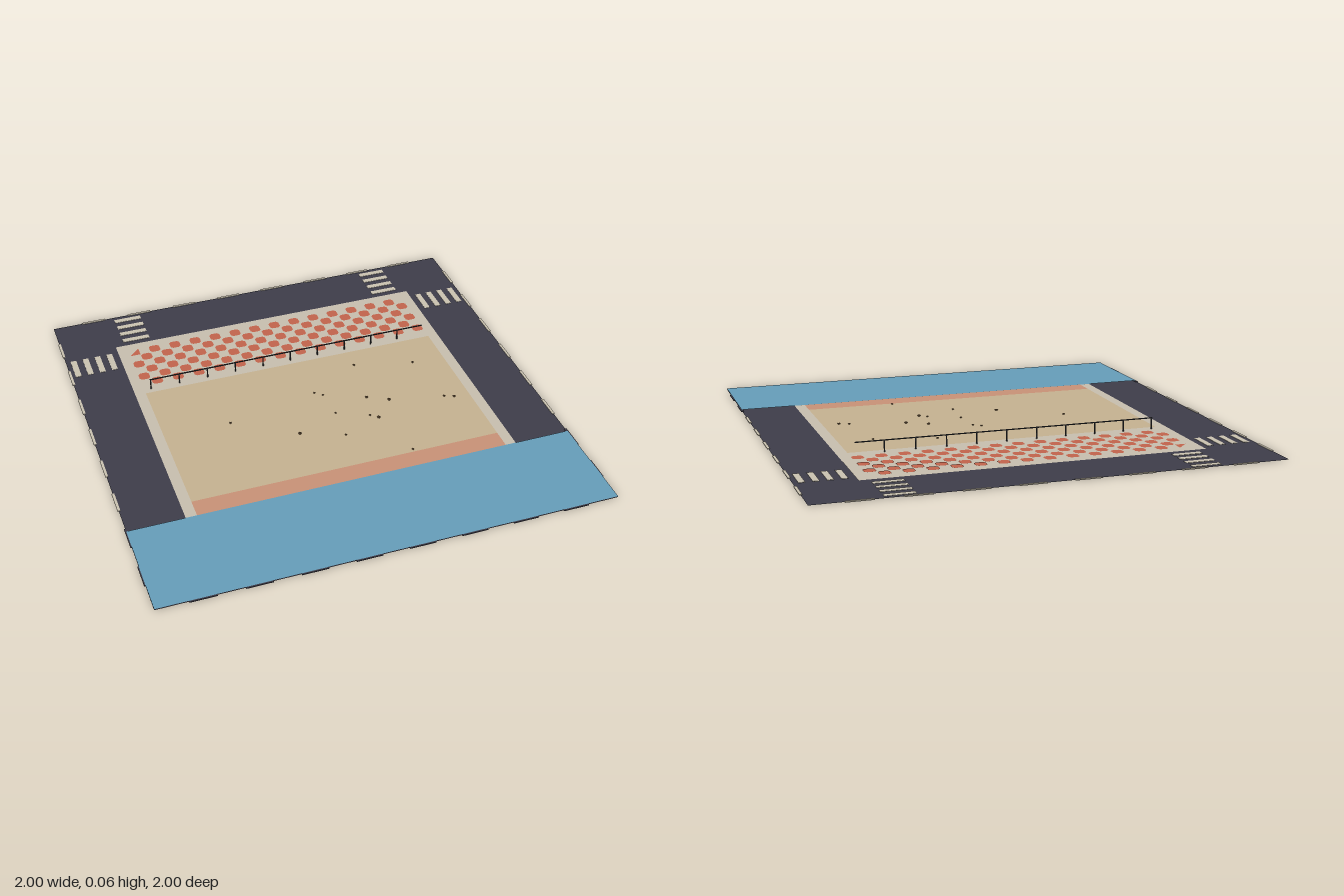
import * as THREE from 'three';
import { mergeGeometries } from 'three/addons/utils/BufferGeometryUtils.js';

const mat = (name, color, side = THREE.FrontSide) => {
  const m = new THREE.MeshStandardMaterial({ color, side });
  m.name = name;
  return m;
};

// Flat rectangle facing up, given by its x and z limits.
function sheet(x0, x1, z0, z1, y) {
  const g = new THREE.PlaneGeometry(x1 - x0, z1 - z0);
  g.rotateX(-Math.PI / 2);
  return g.translate((x0 + x1) / 2, y, (z0 + z1) / 2);
}

// Box given by its centre and size.
const box = (x, y, z, w, h, d) => new THREE.BoxGeometry(w, h, d).translate(x, y, z);

// Paving tile with clipped corners; points run in x and -z before it is laid flat.
function tile(x, z, s, y, points) {
  const shape = new THREE.Shape(points.map(([u, v]) => new THREE.Vector2(u * s, v * s)));
  return new THREE.ShapeGeometry(shape).rotateX(-Math.PI / 2).translate(x, y, z);
}

export function createModel() {
  const group = new THREE.Group();
  const asphalt = mat('asphalt', 0x3f3e4b, THREE.DoubleSide);
  const paint = mat('road paint', 0xcdc5b3);
  const stone = mat('pavement stone', 0xcac1b1);
  const terracotta = mat('terracotta', 0xc4654d);
  const sand = mat('sand', 0xc8b492);
  const wetSand = mat('wet sand', 0xcb9478);
  const water = mat('water', 0x679fbc);
  const iron = mat('iron', 0x34363a);
  const pebble = mat('pebble', 0x6a5238);

  const add = (name, geometry, material) => {
    const mesh = new THREE.Mesh(geometry, material);
    mesh.name = name;
    group.add(mesh);
  };

  // Ground layers
  add('road', sheet(-0.995, 0.995, -0.995, 0.995, 0.0015), asphalt);
  add('pavement', sheet(-0.745, 0.745, -0.745, 0.6, 0.003), stone);
  add('beach', sheet(-0.697, 0.697, -0.345, 0.442, 0.004), sand);
  add('shoreline', sheet(-0.697, 0.697, 0.442, 0.56, 0.004), wetSand);
  add('sea', sheet(-0.995, 0.995, 0.533, 0.995, 0.006), water);

  // Zebra crossings at all four corners
  const bars = [];
  for (const sx of [-1, 1]) for (const sz of [-1, 1]) {
    for (let i = 0; i < 4; i++) {
      const p = 0.959 - i * 0.057;
      bars.push(box(sx * 0.637, 0.0015, sz * p, 0.128, 0.003, 0.027));
      bars.push(box(sx * p, 0.0015, sz * 0.637, 0.027, 0.003, 0.128));
    }
  }
  add('crossings', mergeGeometries(bars), paint);

  // Dashed lines around the rim, dark beside the sea
  const dashes = [], seaDashes = [];
  for (let i = 0; i < 8; i++) {
    const p = (i - 3.5) * 0.2286;
    dashes.push(box(p, 0.002, -0.994, 0.113, 0.004, 0.012));
    seaDashes.push(box(p, 0.002, 0.994, 0.113, 0.004, 0.012));
    for (const s of [-1, 1]) {
      (p > 0.53 ? seaDashes : dashes).push(box(s * 0.994, 0.002, p, 0.012, 0.004, 0.113));
    }
  }
  add('rimDashes', mergeGeometries(dashes), paint);
  add('seaRimDashes', mergeGeometries(seaDashes), asphalt);

  // Chequered promenade
  const c = 0.3;
  const clipped = [[-c, -0.5], [c, -0.5], [0.5, -c], [0.5, c], [c, 0.5], [-c, 0.5], [-0.5, c], [-0.5, -c]];
  const half = [[-0.5, -0.5], [0.5, -0.5], [0.5, 0.5]];
  const tiles = [];
  const s = 0.0498;
  for (let row = 0; row < 6; row++) {
    for (let col = row % 2; col < 28; col += 2) {
      const points = row + col === 0 ? half : clipped;
      tiles.push(tile((col - 13.5) * s, -0.675 + row * s, s, 0.0045, points));
    }
  }
  add('promenadeTiles', mergeGeometries(tiles), terracotta);

  // Railing between promenade and beach
  const rail = [box(0.002, 0.054, -0.373, 1.34, 0.004, 0.005)];
  for (let i = 0; i < 10; i++) {
    rail.push(box(-0.665 + i * 0.1345, 0.029, -0.373, 0.005, 0.05, 0.005));
  }
  add('railing', mergeGeometries(rail), iron);

  // Scattered pebbles: x, z, radius
  const spots = [
    [0.276, -0.238, 0.006], [0.544, -0.169, 0.006], [0.03, -0.094, 0.005], [0.062, -0.067, 0.005],
    [-0.394, -0.008, 0.006], [0.244, 0.013, 0.007], [0.335, 0.062, 0.008], [0.072, 0.078, 0.005],
    [0.212, 0.142, 0.005], [0.244, 0.169, 0.008], [-0.126, 0.163, 0.008], [0.581, 0.12, 0.006],
    [0.624, 0.137, 0.007], [0.062, 0.238, 0.005], [0.303, 0.426, 0.005],
  ];
  add('pebbles', mergeGeometries(spots.map(([x, z, r]) =>
    new THREE.IcosahedronGeometry(r, 0).scale(1, 0.7, 1).translate(x, 0.006, z))), pebble);

  return group;
}
